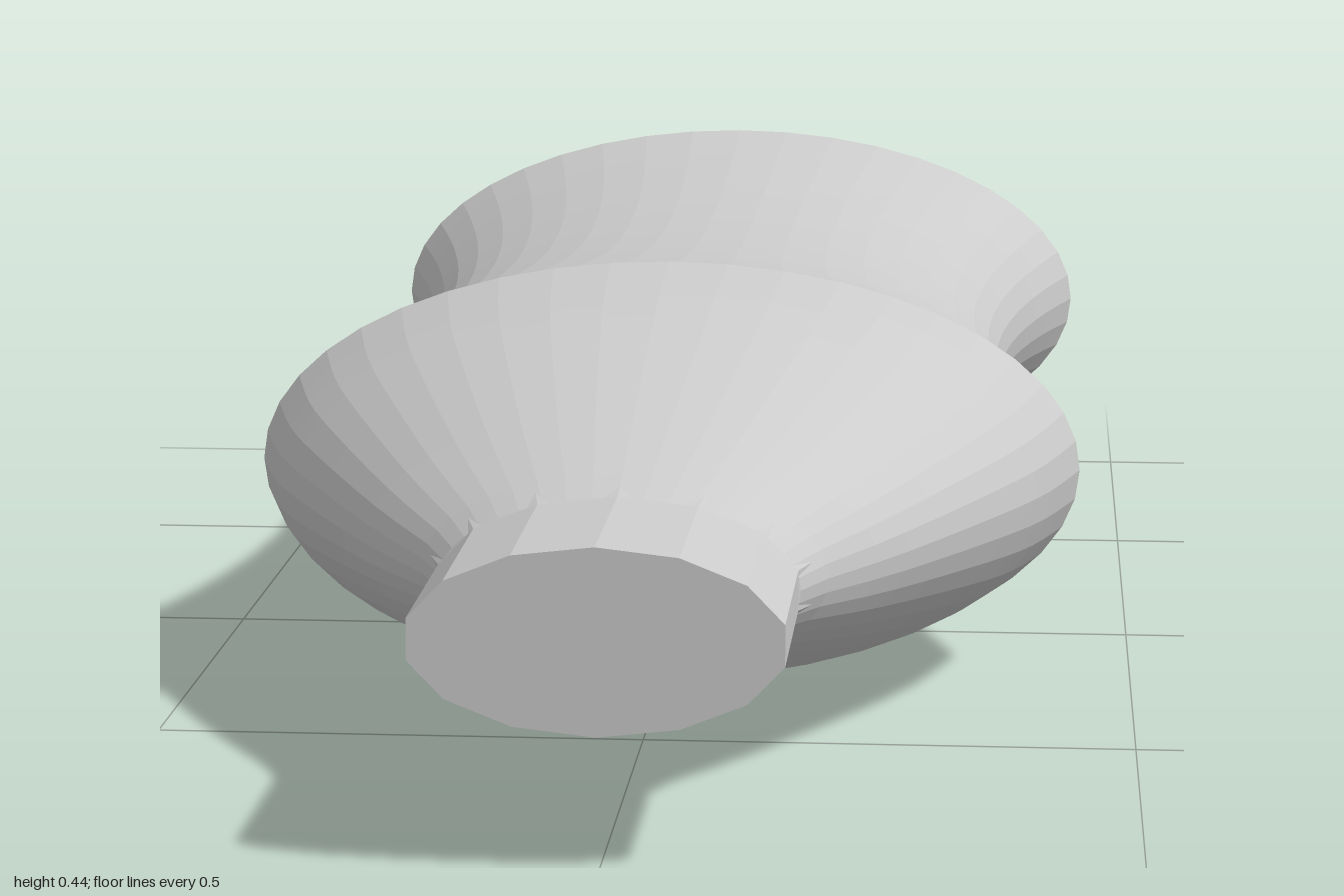
import * as THREE from 'three';

const MID_Y = 0.2225;
const material = new THREE.MeshStandardMaterial({ color: 0xcccccc, flatShading: true });

// Revolves [radius, z] pairs round the z axis and flattens the result to half height.
function ovalLathe(name, profile, sides) {
  const points = profile.map(([r, z]) => new THREE.Vector2(r, z));
  const geometry = new THREE.LatheGeometry(points, sides)
    .rotateX(Math.PI / 2)
    .scale(1, 0.5, 1)
    .translate(0, MID_Y, 0);
  const mesh = new THREE.Mesh(geometry, material);
  mesh.name = name;
  return mesh;
}

export function createModel() {
  const model = new THREE.Group();
  model.name = 'flatBottle';

  // Waisted body: flat base, then a shallow concave arc up to the shoulder ridge
  const body = [[0, -1]];
  for (let i = 0; i <= 20; i++) {
    const t = i / 10 - 1;
    body.push([0.353 + 0.09 * t * t, -0.415 + 0.585 * t]);
  }
  model.add(ovalLathe('body', body, 44));

  // Convex shoulder narrowing towards the neck
  const curve = new THREE.SplineCurve(
    [[0.443, 0.17], [0.41, 0.29], [0.365, 0.4], [0.27, 0.595], [0.198, 0.72]]
      .map(([r, z]) => new THREE.Vector2(r, z)));
  const shoulder = curve.getPoints(12).map((p) => [p.x, p.y]);
  model.add(ovalLathe('shoulder', [...shoulder, [0.174, 0.775]], 44));

  // Straight, coarsely faceted neck with a closed mouth
  model.add(ovalLathe('neck', [[0.196, 0.72], [0.176, 0.775], [0.176, 1], [0, 1]], 14));

  return model;
}
